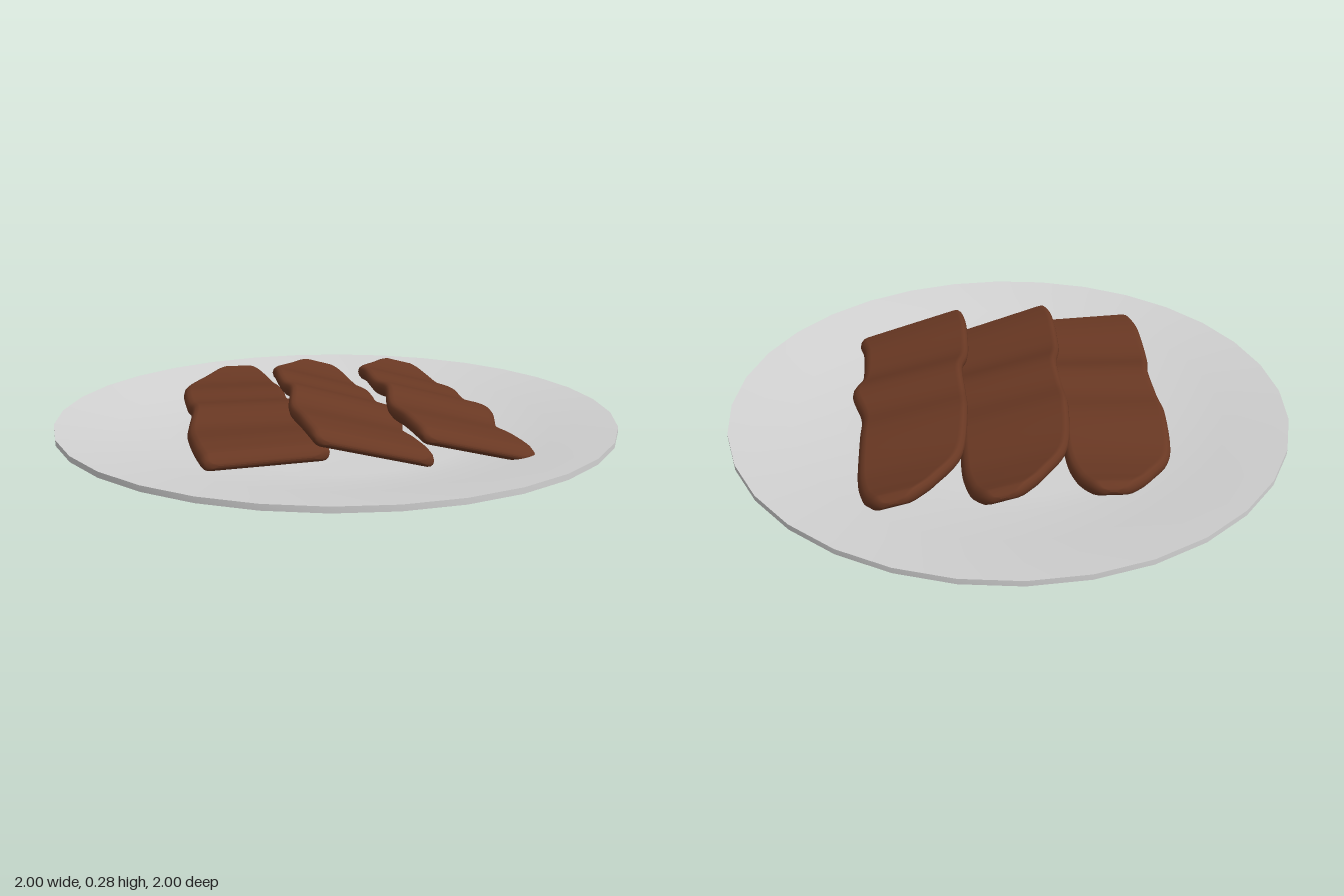
import * as THREE from 'three';
import { toCreasedNormals } from 'three/addons/utils/BufferGeometryUtils.js';

// Slice outline from back tip to cut front end: z, left edge x, right edge x, wave height
const OUTLINE = [
  [-0.645, 0.38, 0.40, 0.01], [-0.635, 0.34, 0.44, 0.008], [-0.60, 0.295, 0.475, 0.002],
  [-0.54, 0.245, 0.50, -0.01], [-0.42, 0.17, 0.52, -0.018], [-0.22, 0.15, 0.525, 0.008],
  [-0.08, 0.155, 0.53, 0], [0.07, 0.165, 0.572, 0.018], [0.22, 0.142, 0.547, -0.012],
  [0.40, 0.145, 0.552, 0.003], [0.50, 0.158, 0.572, 0], [0.545, 0.17, 0.572, -0.007],
  [0.56, 0.19, 0.55, -0.01], [0.565, 0.22, 0.52, -0.01],
];
const SLICE_LEFT = 0.15;

// Wavy slab lofted from flat, round-edged cross-sections, tilted about its left edge
function sliceGeometry(slope) {
  const edge = (k) => new THREE.CatmullRomCurve3(
    OUTLINE.map((p) => new THREE.Vector3(p[k], p[3], p[0])), false, 'catmullrom');
  const left = edge(1), right = edge(2);
  const rows = 78, half = 7, ring = half * 2;
  const z0 = OUTLINE[0][0], z1 = OUTLINE[OUTLINE.length - 1][0];
  const pos = [], index = [];
  for (let i = 0; i <= rows; i++) {
    const a = left.getPoint(i / rows), b = right.getPoint(i / rows);
    const xc = (a.x + b.x) / 2, hw = (b.x - a.x) / 2;
    const toEnd = Math.max(0, Math.min(a.z - z0, z1 - a.z));
    const h = 0.028 * Math.sqrt(Math.min(1, toEnd / 0.03));
    const r = Math.min(h, hw);
    for (let j = 0; j < ring; j++) {
      const side = j < half ? 1 : -1;
      const ang = -Math.PI / 2 + Math.PI * (j % half) / (half - 1) + (side < 0 ? Math.PI : 0);
      const x = xc + side * (hw - r) + r * Math.cos(ang);
      const y = a.y + h * Math.sin(ang) - slope * (x - SLICE_LEFT);
      // the cut end runs slightly askew
      const z = a.z - 0.11 * (x - 0.36) * THREE.MathUtils.smoothstep(a.z, 0.1, 0.5);
      pos.push(x, y, z);
    }
  }
  for (let i = 0; i < rows; i++) {
    for (let j = 0; j < ring; j++) {
      const p = i * ring + j, q = i * ring + (j + 1) % ring;
      index.push(p, q, p + ring, q, q + ring, p + ring);
    }
  }
  const geo = new THREE.BufferGeometry();
  geo.setAttribute('position', new THREE.Float32BufferAttribute(pos, 3));
  geo.setIndex(index);
  geo.computeVertexNormals();
  return geo;
}

export function createModel() {
  const group = new THREE.Group();
  group.name = 'plateOfSlices';
  const ceramic = new THREE.MeshStandardMaterial({ color: 0xd2d2d2 });
  ceramic.name = 'lightGreyCeramic';
  const brown = new THREE.MeshStandardMaterial({ color: 0x693823 });
  brown.name = 'brown';

  // Plate with foot ring, sloping rim and shallow well
  const profile = [
    [0, 0.04], [0.47, 0.04], [0.47, 0], [0.56, 0], [0.56, 0.065], [1, 0.145],
    [1, 0.165], [0.78, 0.13], [0.6, 0.095], [0.5, 0.09], [0, 0.09],
  ].map(([x, y]) => new THREE.Vector2(x, y));
  const plate = new THREE.Mesh(
    toCreasedNormals(new THREE.LatheGeometry(profile, 32), 0.35), ceramic);
  plate.name = 'plate';
  group.add(plate);

  // Three overlapping slices: name, x shift, height of left edge, slope, z shift
  const slices = [
    ['leftmostSlice', -0.69, 0.183, 0, 0.015],
    ['middleSlice', -0.345, 0.25, 0.28, 0],
    ['rightmostSlice', 0, 0.238, 0.27, 0],
  ];
  for (const [name, x, y, slope, z] of slices) {
    const slice = new THREE.Mesh(sliceGeometry(slope), brown);
    slice.name = name;
    slice.position.set(x, y, z);
    group.add(slice);
  }
  return group;
}
